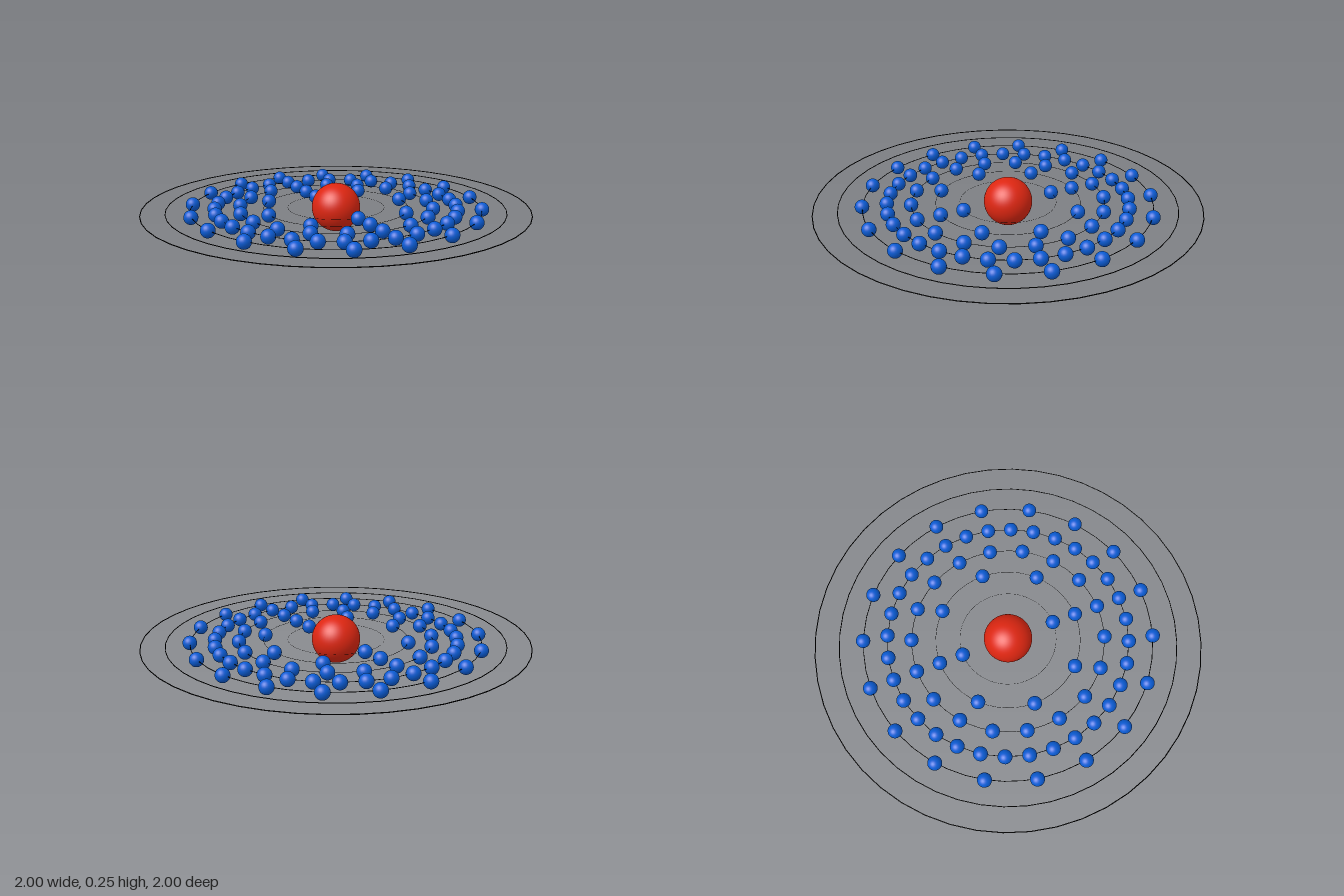
import * as THREE from 'three';

const CENTER_Y = 0.126;
const RING_STEP = 0.125;
// Electrons on each orbit, from the innermost outwards
const SHELLS = [2, 8, 18, 32, 18, 0, 0];

export function createModel() {
  const model = new THREE.Group();
  model.name = 'atom';
  const red = new THREE.MeshStandardMaterial({ color: 0xdd2611 });
  const blue = new THREE.MeshStandardMaterial({ color: 0x0a5bd3 });
  const black = new THREE.MeshStandardMaterial({ color: 0x000000 });

  // Nucleus
  const nucleus = new THREE.Mesh(new THREE.SphereGeometry(0.125, 48, 32), red);
  nucleus.name = 'nucleus';
  nucleus.position.y = CENTER_Y;
  model.add(nucleus);

  // Orbits: thin rings whose thickness grows with their radius
  const electronGeometry = new THREE.SphereGeometry(0.037, 24, 16);
  SHELLS.forEach((count, i) => {
    const radius = RING_STEP * (i + 2);
    const shell = new THREE.Group();
    shell.name = `shell${i + 1}`;
    shell.position.y = CENTER_Y;

    const tube = 0.0025 * radius;
    const orbit = new THREE.Mesh(new THREE.TorusGeometry(radius - tube, tube, 6, 48), black);
    orbit.name = 'orbit';
    orbit.rotation.x = Math.PI / 2;
    shell.add(orbit);

    // Electrons evenly spaced, starting at the back
    for (let k = 0; k < count; k++) {
      const a = (k / count) * Math.PI * 2;
      const electron = new THREE.Mesh(electronGeometry, blue);
      electron.name = 'electron';
      electron.position.set(radius * Math.sin(a), 0, -radius * Math.cos(a));
      shell.add(electron);
    }
    model.add(shell);
  });

  return model;
}
